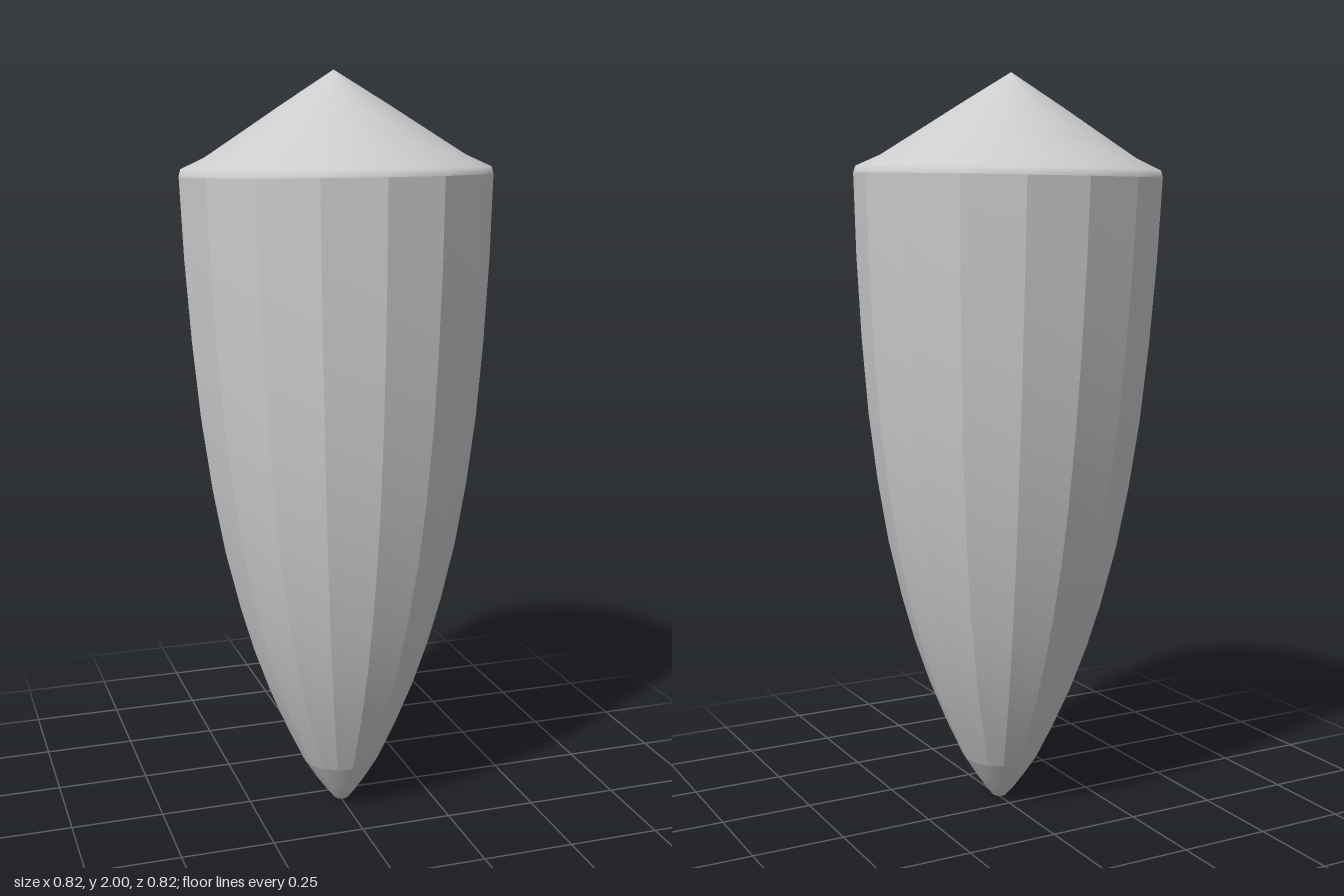
import * as THREE from 'three';
import { mergeGeometries } from 'three/addons/utils/BufferGeometryUtils.js';

const SIDES = 16;
const STEP = (Math.PI * 2) / SIDES;
const points = (list) => list.map(([r, y]) => new THREE.Vector2(r, y));

// Turned profile with flat sides around and smooth shading along its length
function facetedLathe(profile) {
  const strips = [];
  for (let i = 0; i < SIDES; i++) {
    const strip = new THREE.LatheGeometry(profile, 1, i * STEP, STEP);
    strip.computeVertexNormals();
    strips.push(strip);
  }
  return mergeGeometries(strips);
}

export function createModel() {
  const model = new THREE.Group();
  model.name = 'bluntedSpike';
  const grey = new THREE.MeshStandardMaterial({ color: 0xcccccc });
  grey.name = 'lightGrey';

  // Small rounded point at the foot
  const tipProfile = points([[0, 0], [0.02, 0.008], [0.042, 0.035], [0.07, 0.075], [0.105, 0.13]]);
  const tip = new THREE.Mesh(new THREE.LatheGeometry(tipProfile, SIDES), grey);
  tip.name = 'roundedTip';

  // Long swelling body with sixteen flat sides
  const bodyProfile = points([
    [0.105, 0.13], [0.152, 0.23], [0.2, 0.345], [0.242, 0.465], [0.278, 0.59], [0.316, 0.75],
    [0.346, 0.92], [0.37, 1.1], [0.388, 1.3], [0.402, 1.52], [0.41, 1.735],
  ]);
  const body = new THREE.Mesh(facetedLathe(bodyProfile), grey);
  body.name = 'facetedBody';

  // Shallow conical cap, flaring slightly at the rim
  const capProfile = points([[0.41, 1.735], [0.405, 1.753], [0.34, 1.783], [0.27, 1.828], [0.14, 1.912], [0, 2]]);
  const cap = new THREE.Mesh(new THREE.LatheGeometry(capProfile, SIDES), grey);
  cap.name = 'conicalCap';

  // The whole spike leans back slightly
  const spike = new THREE.Group();
  spike.name = 'leaningSpike';
  spike.add(tip, body, cap);
  spike.rotation.x = -0.035;
  spike.position.z = 0.06;
  model.add(spike);
  return model;
}
